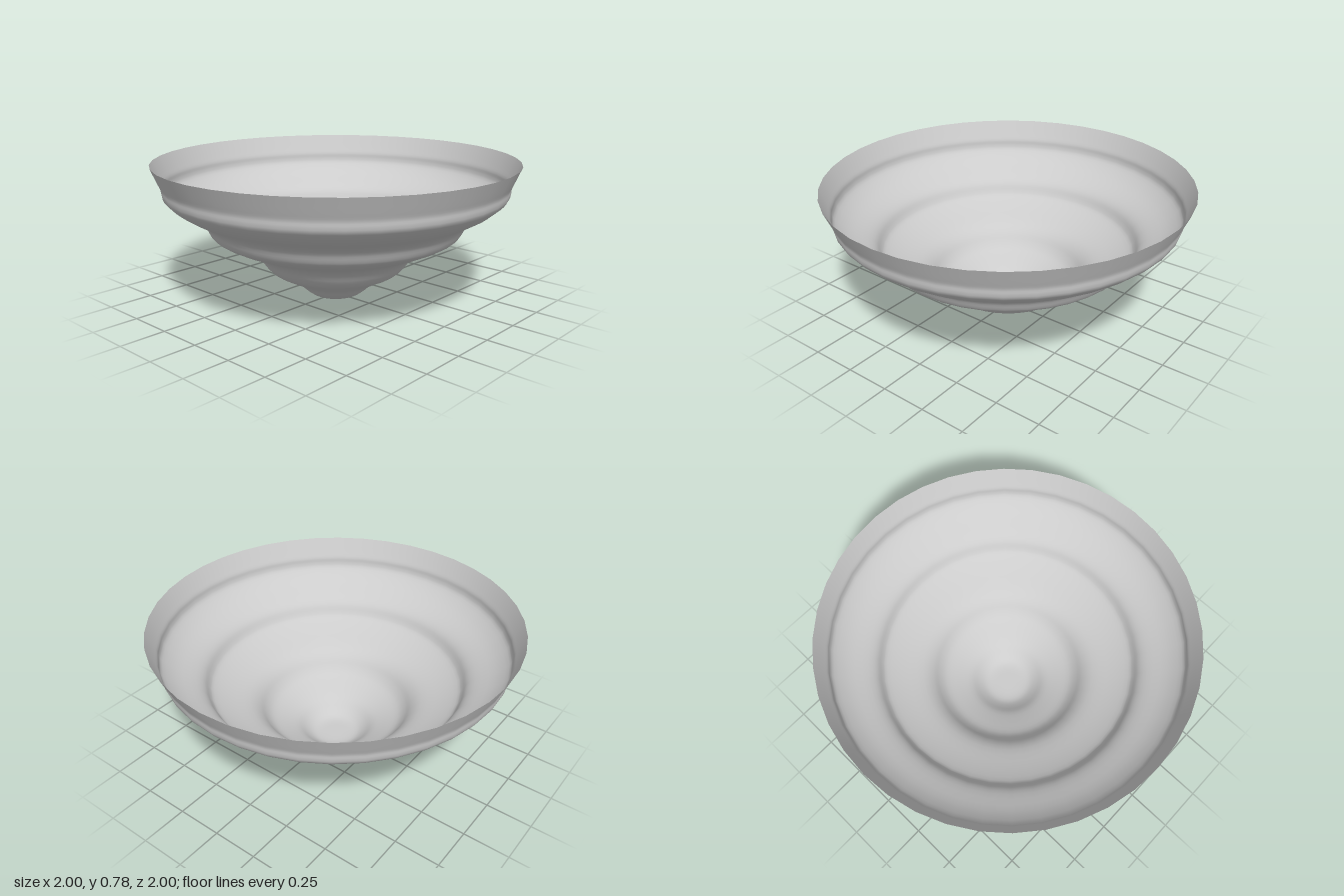
import * as THREE from 'three';

// Half profile of the thin bowl, from the centre of the base to the rim
const PROFILE = [
  [0, 0], [0.07, 0], [0.125, 0.008], [0.17, 0.037], [0.22, 0.08], [0.29, 0.118],
  [0.36, 0.155], [0.4, 0.195], [0.435, 0.242], [0.49, 0.285], [0.6, 0.333],
  [0.68, 0.375], [0.705, 0.405], [0.727, 0.447], [0.77, 0.485], [0.865, 0.54],
  [0.932, 0.597], [0.947, 0.632], [0.95, 0.662], [0.967, 0.703], [1, 0.78],
];

export function createModel() {
  const group = new THREE.Group();
  group.name = 'steppedBowl';

  // Rippled shell, open at the top
  const curve = new THREE.SplineCurve(PROFILE.map(([r, y]) => new THREE.Vector2(r, y)));
  const points = curve.getPoints((PROFILE.length - 1) * 3);
  points.forEach((p) => p.set(Math.max(p.x, 0), Math.max(p.y, 0)));

  const shell = new THREE.Mesh(
    new THREE.LatheGeometry(points, 40),
    new THREE.MeshStandardMaterial({ color: 0xcccccc, side: THREE.DoubleSide }),
  );
  shell.name = 'bowlShell';
  group.add(shell);
  return group;
}
